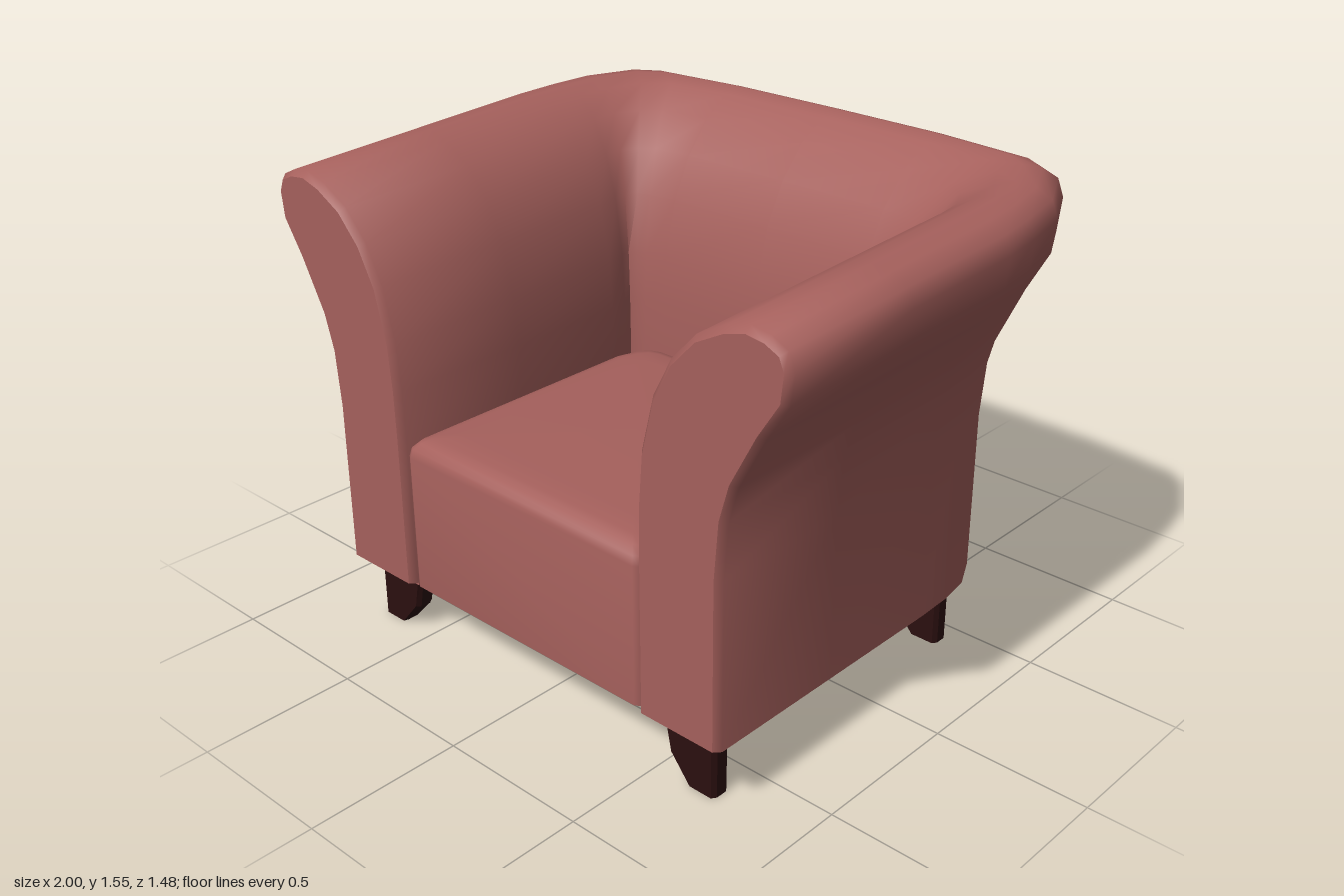
import * as THREE from 'three';
import { toCreasedNormals } from 'three/addons/utils/BufferGeometryUtils.js';

const fabric = new THREE.MeshStandardMaterial({ color: 0xa5605c, side: THREE.DoubleSide });
const wood = new THREE.MeshStandardMaterial({ color: 0x2b0f0f });

// Surface through rows of points, smooth except at sharp edges
function loft(rows, crease = 1) {
  const n = rows[0].length, index = [];
  for (let i = 0; i < rows.length - 1; i++) {
    for (let j = 0; j < n - 1; j++) {
      const a = i * n + j, b = a + n;
      index.push(a, a + 1, b, a + 1, b + 1, b);
    }
  }
  const geo = new THREE.BufferGeometry().setFromPoints(rows.flat());
  geo.setIndex(index);
  return toCreasedNormals(geo, crease);
}

function add(group, name, geometry, material) {
  const mesh = new THREE.Mesh(geometry, material);
  mesh.name = name;
  group.add(mesh);
  return mesh;
}

// Arm section: [inner to base fraction, base to rim fraction, y]
const SECTION = [
  [0, 0, 0.22], [0, 0, 0.72], [0.01, 0, 0.88], [0.05, 0, 1.03], [0.19, 0, 1.2],
  [0.4, 0, 1.32], [0.68, 0, 1.41], [1, 0, 1.462], [1, 0.35, 1.483], [1, 0.65, 1.475],
  [1, 0.9, 1.45], [1, 1, 1.4], [1, 0.95, 1.31], [1, 0.62, 1.2], [1, 0.22, 1.04],
  [1, 0.07, 0.93], [1, 0, 0.75], [1, 0, 0.22],
];

// Plan stations from the arm front to the middle of the back: inner, base and rim as x, z
const STATIONS = [
  [0.487, 0.715, 0.787, 0.715, 1, 0.715],
  [0.487, 0.25, 0.787, 0.25, 1, 0.25],
  [0.487, -0.17, 0.787, -0.2, 1, -0.18],
  [0.5, -0.24, 0.782, -0.33, 0.985, -0.32],
  [0.51, -0.275, 0.765, -0.44, 0.957, -0.48],
  [0.49, -0.288, 0.71, -0.55, 0.87, -0.65],
  [0.46, -0.295, 0.63, -0.605, 0.79, -0.7],
  [0.39, -0.308, 0.4, -0.635, 0.4, -0.735],
  [0, -0.31, 0, -0.64, 0, -0.74],
];

const clamp = THREE.MathUtils.clamp;

// The roll climbs gently towards the back
function sectionAt([ix, iz, bx, bz, rx, rz]) {
  return SECTION.map(([a, b, y]) => {
    const x = ix + a * (bx - ix) + b * (rx - bx);
    const z = iz + a * (bz - iz) + b * (rz - bz);
    const rise = clamp((0.715 - z) / 1.3, 0, 1) * clamp((y - 0.9) / 0.57, 0, 1);
    return new THREE.Vector3(x, y + 0.067 * rise, z);
  });
}

// Front section pulled in slightly to soften the edge of the arm front
function insetFront(points, d, z) {
  return points.map((p, i) => {
    const t = points[Math.min(i + 1, points.length - 1)].clone()
      .sub(points[Math.max(i - 1, 0)]).normalize();
    return new THREE.Vector3(p.x + t.y * d, p.y - t.x * d, z);
  });
}

const mirror = (row) => row.map((p) => new THREE.Vector3(-p.x, p.y, p.z));

function buildShell(group) {
  const half = STATIONS.map(sectionAt);
  const front = insetFront(half[0], 0.018, 0.735);
  half.unshift(front);
  const rows = [...half, ...half.slice(0, -1).reverse().map(mirror)];
  add(group, 'armsAndBack', loft(rows), fabric);
  add(group, 'shellUnderside', loft(rows.map((r) => [r[r.length - 1], r[0]])), fabric);
  for (const s of [1, -1]) {
    const shape = new THREE.Shape(front.map((p) => new THREE.Vector2(s * p.x, p.y)));
    const cap = add(group, s > 0 ? 'leftArmFront' : 'rightArmFront', new THREE.ShapeGeometry(shape), fabric);
    cap.position.z = 0.735;
  }
}

// Seat block, open underneath, with a softened top and cut back corners
function buildSeat(group) {
  const side = [[0.465, 0.722], [0.481, 0.712], [0.487, 0.69], [0.487, -0.18], [0.465, -0.26], [0.44, -0.295], [0.4, -0.31]];
  const outline = [...side, ...side.map(([x, z]) => [-x, z]).reverse(), side[0]];
  const rings = [[0, 0.22], [0, 0.67], [0.006, 0.698], [0.024, 0.718], [0.055, 0.728], [0.12, 0.732], [0.487, 0.736]];
  const rows = rings.map(([inset, y]) => outline.map(([x, z]) => {
    const k = 1 - inset / 0.487;
    return new THREE.Vector3(x * k, y, 0.205 + (z - 0.205) * k);
  }));
  add(group, 'seat', loft(rows), fabric);
}

// Thin base plates under the arms, turning in at the back corners
function buildBasePlates(group) {
  const plan = [[0.5, 0.7], [0.74, 0.7], [0.74, -0.36], [0.66, -0.53], [0.6, -0.565], [0.38, -0.565], [0.38, -0.34], [0.51, -0.28]];
  for (const s of [1, -1]) {
    const shape = new THREE.Shape(plan.map(([x, z]) => new THREE.Vector2(s * x, -z)));
    const geo = new THREE.ExtrudeGeometry(shape, { depth: 0.022, bevelEnabled: false });
    geo.rotateX(-Math.PI / 2);
    add(group, s > 0 ? 'leftBasePlate' : 'rightBasePlate', geo, fabric).position.y = 0.2;
  }
}

// Bracket feet, straight outside and curved inside
function buildFeet(group) {
  const side = [[0.71, 0.21], [0.71, 0], [0.63, 0], [0.56, 0.085], [0.535, 0.21]];
  for (const s of [1, -1]) {
    const shape = new THREE.Shape(side.map(([x, y]) => new THREE.Vector2(s * x, y)));
    for (const [end, z] of [['Front', 0.64], ['Back', -0.413]]) {
      const geo = new THREE.ExtrudeGeometry(shape, {
        depth: 0.036, bevelSize: 0.01, bevelThickness: 0.015, bevelSegments: 1,
      });
      // Keep the soles flat on the floor
      const pos = geo.attributes.position;
      for (let i = 0; i < pos.count; i++) pos.setY(i, Math.max(0, pos.getY(i)));
      geo.computeVertexNormals();
      add(group, (s > 0 ? 'left' : 'right') + end + 'Foot', geo, wood).position.z = z - 0.018;
    }
  }
}

export function createModel() {
  const group = new THREE.Group();
  group.name = 'armchair';
  buildShell(group);
  buildSeat(group);
  buildBasePlates(group);
  buildFeet(group);
  return group;
}
